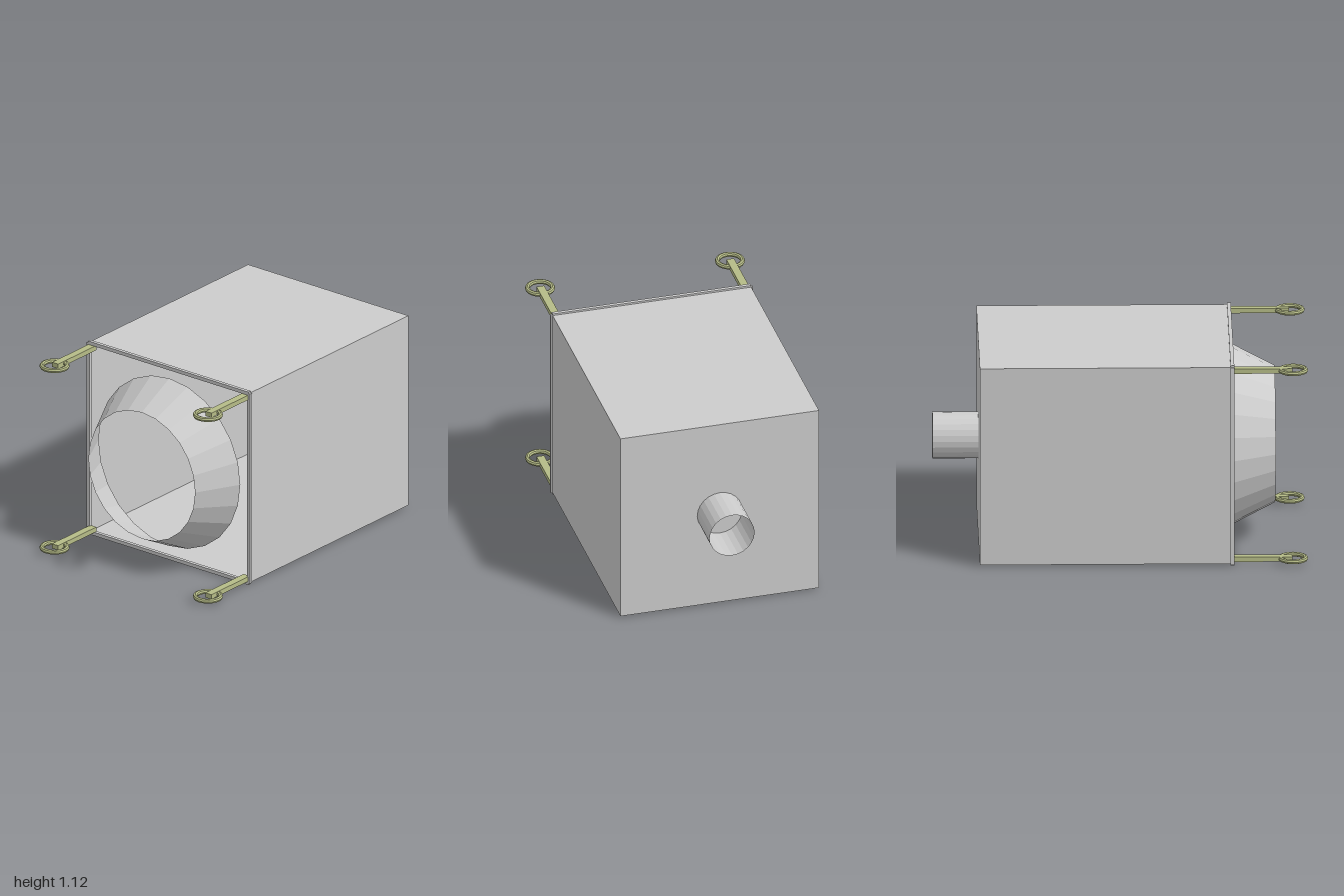
import * as THREE from 'three';

const grey = new THREE.MeshStandardMaterial({ color: 0xcccccc, flatShading: true, side: THREE.DoubleSide });
const olive = new THREE.MeshStandardMaterial({ color: 0xb5bb87, flatShading: true });

const CY = 0.561;       // height of the central axis
const HALF = 0.551;     // half width of the square housing
const BACK = -0.755, FRONT = 0.595;

function add(parent, name, geometry, material, x, y, z) {
  const mesh = new THREE.Mesh(geometry, material);
  mesh.name = name;
  mesh.position.set(x, y, z);
  parent.add(mesh);
  return mesh;
}

// Open-ended round duct along z, from zBack to zFront
function duct(rFront, rBack, zBack, zFront) {
  return new THREE.CylinderGeometry(rFront, rBack, zFront - zBack, 24, 1, true)
    .rotateX(Math.PI / 2)
    .translate(0, 0, (zBack + zFront) / 2);
}

export function createModel() {
  const model = new THREE.Group();
  model.name = 'ductHousing';

  // Housing: thin box without its front face
  const box = new THREE.BoxGeometry(2 * HALF, 2 * HALF, FRONT - BACK);
  const index = Array.from(box.index.array);
  index.splice(24, 6);
  box.setIndex(index);
  box.clearGroups();
  add(model, 'housing', box, grey, 0, CY, (FRONT + BACK) / 2);

  // Conical nozzle in front and outlet pipe behind
  add(model, 'nozzle', duct(0.367, 0.487, FRONT, 0.83), grey, 0, CY + 0.0015, 0);
  add(model, 'outletPipe', duct(0.125, 0.125, -1, BACK), grey, 0, CY + 0.003, 0);

  // Frame strips around the open front
  const frame = new THREE.Group();
  frame.name = 'frontFrame';
  model.add(frame);
  for (const s of [-1, 1]) {
    add(frame, 'sideStrip', new THREE.BoxGeometry(0.02, 2 * HALF, 0.02), grey, s * HALF, CY, FRONT);
    add(frame, 'crossStrip', new THREE.BoxGeometry(2 * HALF, 0.02, 0.02), grey, 0, CY + s * HALF, FRONT);
  }

  // Corner rods, each ending in a flat ring
  for (const sx of [-1, 1]) {
    for (const sy of [-1, 1]) {
      const hanger = new THREE.Group();
      hanger.name = 'cornerHanger';
      hanger.position.set(sx * 0.527, CY + sy * 0.528, 0);
      model.add(hanger);
      add(hanger, 'rod', new THREE.BoxGeometry(0.042, 0.027, 0.325), olive, 0, 0, 0.7525);
      const ring = new THREE.TorusGeometry(0.067, 0.0135, 8, 24).rotateX(Math.PI / 2);
      add(hanger, 'ring', ring, olive, 0, 0, 0.9195);
    }
  }
  return model;
}
